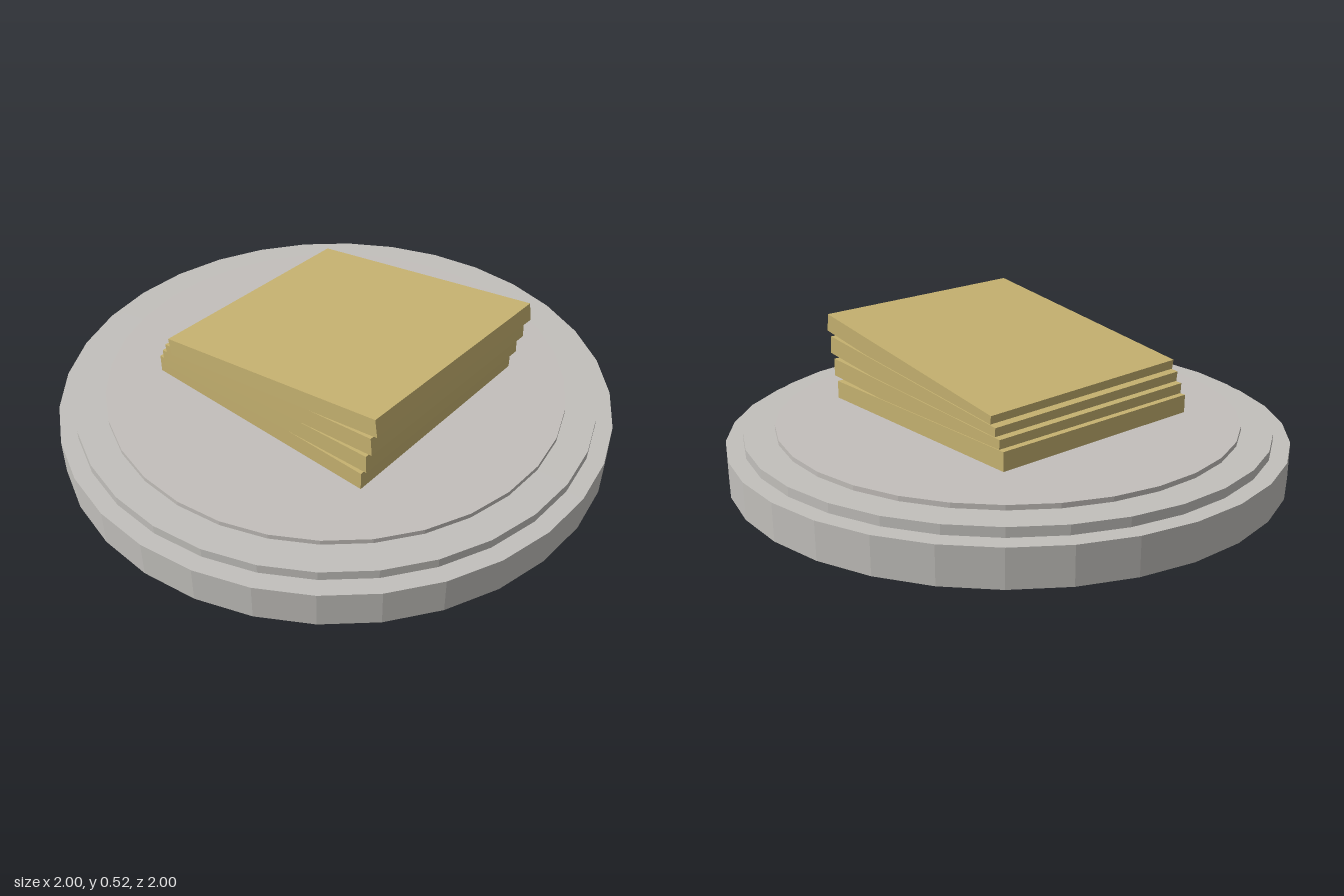
import * as THREE from 'three';

export function createModel() {
  const model = new THREE.Group();
  const stone = new THREE.MeshStandardMaterial({ color: 0xc2c0bc, flatShading: true });
  stone.name = 'pale grey';
  const stoneTop = new THREE.MeshStandardMaterial({ color: 0xc3bfbb, flatShading: true });
  stoneTop.name = 'warm grey';
  const tan = new THREE.MeshStandardMaterial({ color: 0xc6b270, flatShading: true });
  tan.name = 'tan';

  // Stepped round base: name, radius, bottom, top, material
  const tiers = [
    ['baseDisc', 1, 0, 0.13, stone],
    ['middleDisc', 0.94, 0.13, 0.163, stone],
    ['topDisc', 0.83, 0.163, 0.18, stoneTop],
  ];
  for (const [name, radius, bottom, top, material] of tiers) {
    const disc = new THREE.Mesh(new THREE.CylinderGeometry(radius, radius, top - bottom, 32), material);
    disc.name = name;
    disc.position.y = (bottom + top) / 2;
    model.add(disc);
  }

  // Fanned stack of slabs, each one turned, then tilted 3 degrees more than the last
  const stack = new THREE.Group();
  stack.name = 'slabStack';
  const slabGeometry = new THREE.BoxGeometry(0.94, 0.065, 0.845);
  for (let i = 0; i < 4; i++) {
    const slab = new THREE.Mesh(slabGeometry, tan);
    slab.name = `slab${i + 1}`;
    slab.position.set(0.0227 * i, 0.2325 + 0.059 * i, 0);
    slab.rotation.set(0, THREE.MathUtils.degToRad(7.4), THREE.MathUtils.degToRad(3 * i), 'ZYX');
    stack.add(slab);
  }
  model.add(stack);
  return model;
}
